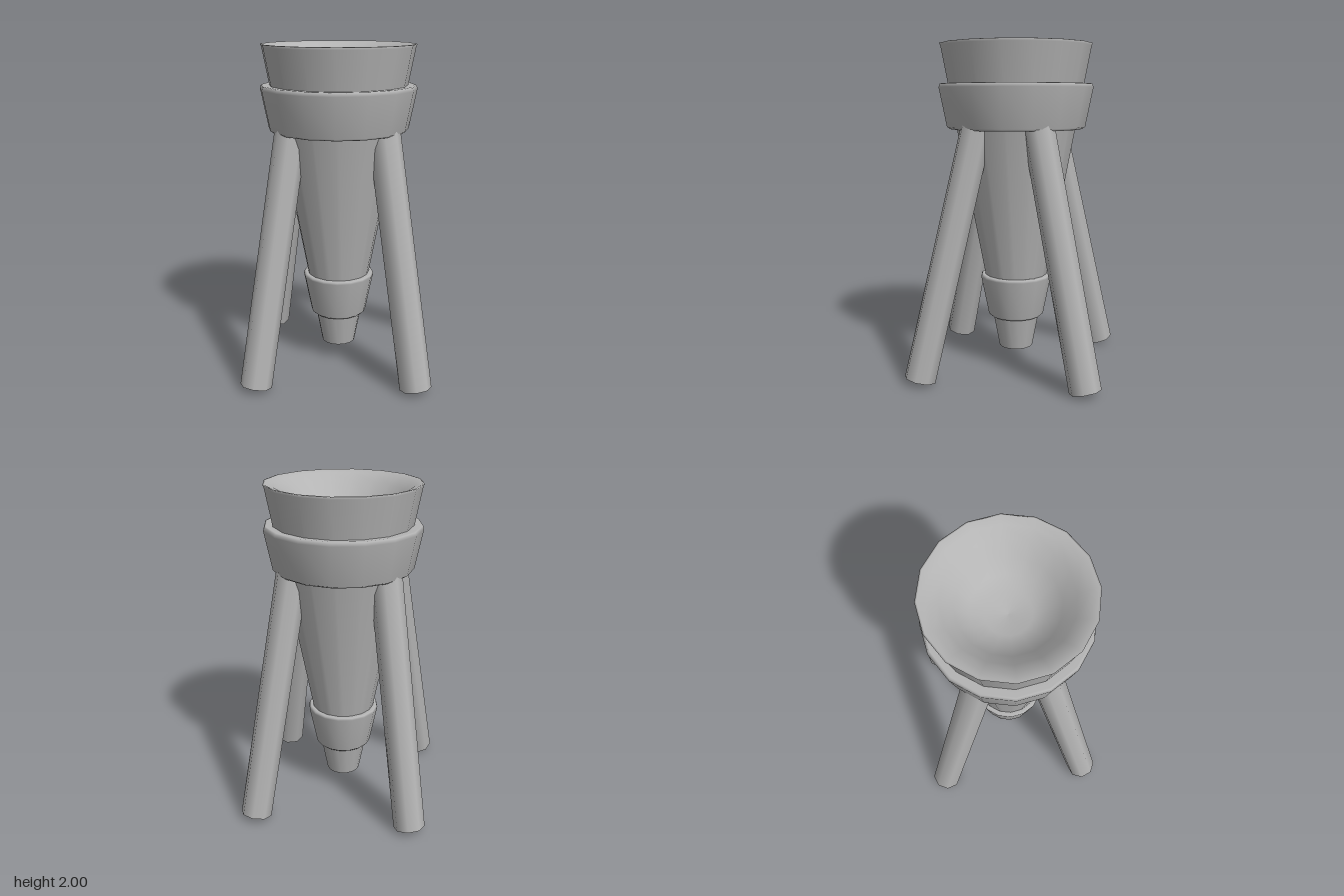
import * as THREE from 'three';

export function createModel() {
  const model = new THREE.Group();
  const grey = new THREE.MeshStandardMaterial({ color: 0xb4b4b4 });
  grey.name = 'plain grey';

  const add = (name, geometry) => {
    const mesh = new THREE.Mesh(geometry, grey);
    mesh.name = name;
    model.add(mesh);
    return mesh;
  };

  // Sixteen-sided turned part; a repeated point keeps that edge sharp
  const turned = (name, profile) =>
    add(name, new THREE.LatheGeometry(profile.map(([r, y]) => new THREE.Vector2(r, y)), 16));

  // Tapered body with a dished top
  turned('body', [
    [0, 0.11], [0.105, 0.11], [0.105, 0.11],
    [0.458, 1.985], [0.465, 1.998], [0.455, 2], [0.41, 1.985],
    [0.35, 1.945], [0.28, 1.875], [0.21, 1.815], [0.13, 1.78], [0, 1.765],
  ]);

  // Collars around the body
  turned('upperCollar', [
    [0.34, 1.49], [0.405, 1.49], [0.425, 1.503],
    [0.472, 1.74], [0.465, 1.76], [0.455, 1.763], [0.39, 1.76],
  ]);
  turned('lowerCollar', [
    [0.12, 0.312], [0.16, 0.312], [0.174, 0.325],
    [0.222, 0.565], [0.218, 0.578], [0.208, 0.582], [0.17, 0.58],
  ]);

  // Four splayed eight-sided legs
  const up = new THREE.Vector3(0, 1, 0);
  for (const sx of [-1, 1]) {
    for (const sz of [-1, 1]) {
      const foot = new THREE.Vector3(0.475 * sx, 0.024, 0.49 * sz);
      const top = new THREE.Vector3(0.268 * sx, 1.54, 0.175 * sz);
      const axis = top.clone().sub(foot);
      const leg = add(
        (sz > 0 ? 'front' : 'back') + (sx > 0 ? 'Left' : 'Right') + 'Leg',
        new THREE.CylinderGeometry(0.095, 0.095, axis.length(), 8)
      );
      leg.position.copy(foot).add(top).multiplyScalar(0.5);
      leg.quaternion.setFromUnitVectors(up, axis.normalize());
    }
  }
  return model;
}
